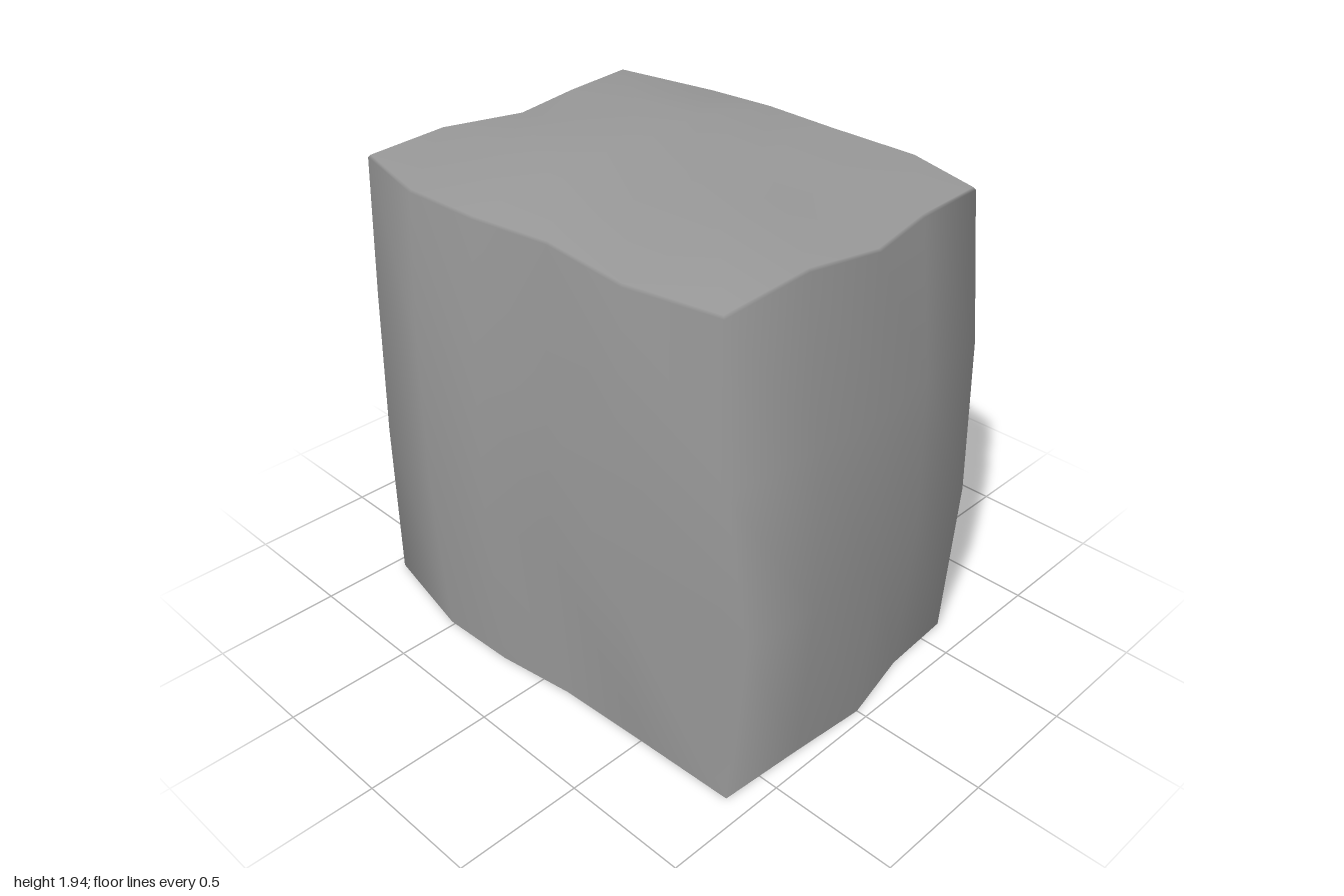
import * as THREE from 'three';

// Outline of the top rim, running back -> left (+x) -> front -> right (-x)
const RIM = [
  [-0.66, -0.88], [-0.31, -0.915], [0, -0.825], [0.31, -0.885], [0.62, -0.92],
  [0.74, -0.52], [0.725, -0.2], [0.715, 0.12], [0.715, 0.5],
  [0.62, 0.82], [0.31, 0.835], [0, 0.9], [-0.31, 0.875], [-0.66, 0.855],
  [-0.725, 0.5], [-0.69, 0.12], [-0.735, -0.2], [-0.745, -0.52],
];
// Outline at the widest part of the bulge, in the same order
const BULGE = [
  [-0.66, -0.96], [-0.31, -1], [0, -0.96], [0.31, -0.98], [0.62, -1],
  [0.785, -0.51], [0.77, -0.2], [0.76, 0.12], [0.76, 0.5],
  [0.62, 0.91], [0.31, 0.93], [0, 1], [-0.31, 0.975], [-0.66, 0.95],
  [-0.77, 0.5], [-0.73, 0.12], [-0.775, -0.2], [-0.79, -0.51],
];
const N = RIM.length;

// Each level: height and how far each face swells from rim to bulge
const LEVELS = [
  { y: 0, side: 0.05, front: 0.58, back: 0.95 },
  { y: 0.68, side: 1, front: 1, back: 0.9 },
  { y: 1.3, side: 0.87, front: 0.75, back: 0.5 },
  { y: 1.87, side: 0, front: 0, back: 0 },
];
const TOP = LEVELS.length - 1;

// Dents and bumps: level, outline point, x, z
const DENTS = [
  [0, 13, -0.66, 0.91], [1, 13, -0.62, 0.945], [2, 13, -0.7, 0.92],
  [0, 14, -0.675, 0.5],
  [0, 1, -0.31, -0.98], [1, 1, -0.31, -0.95], [2, 1, -0.31, -1],
  [0, 2, 0, -0.905], [1, 2, 0, -0.955], [2, 2, 0, -0.91],
];
// Rim heights that differ from the top level
const RIM_Y = { 5: 1.85, 11: 1.875, 12: 1.905 };
// Size of the softened edge around the top
const BEVEL = 0.01;

function outlinePoint(l, i) {
  const { y, side, front, back } = LEVELS[l];
  const [rx, rz] = RIM[i], [bx, bz] = BULGE[i];
  const zBlend = rz > 0.6 ? front : rz < -0.6 ? back : side;
  const p = [THREE.MathUtils.lerp(rx, bx, side), y, THREE.MathUtils.lerp(rz, bz, zBlend)];
  const dent = DENTS.find((d) => d[0] === l && d[1] === i);
  if (dent) [p[0], p[2]] = [dent[2], dent[3]];
  if (l === TOP) p[1] = (RIM_Y[i] ?? y) - BEVEL;
  return p;
}

// Smooth wall, open underneath
function addWall(points, index) {
  for (let l = 0; l <= TOP; l++) {
    for (let i = 0; i < N; i++) {
      points.push(outlinePoint(l, i));
      if (l === TOP) continue;
      const j = (i + 1) % N;
      const a = l * N + i, b = l * N + j, c = a + N, d = b + N;
      index.push(a, c, d, a, d, b);
    }
  }
}

// Gently rolling top: a grid whose border sits just inside the rim
function addTop(points, index) {
  const xs = [-0.31, 0, 0.31], zs = [-0.52, -0.2, 0.12, 0.5];
  const heights = [
    [1.915, 1.915, 1.93],
    [1.94, 1.91, 1.935],
    [1.895, 1.88, 1.885],
    [1.93, 1.9, 1.89],
  ];
  const cols = 5, rows = 6, start = points.length, border = [];
  for (let r = 0; r < rows; r++) {
    for (let c = 0; c < cols; c++) {
      let rim = -1;
      if (r === 0) rim = c;
      else if (r === rows - 1) rim = 13 - c;
      else if (c === cols - 1) rim = 4 + r;
      else if (c === 0) rim = 18 - r;
      const a = start + r * cols + c, b = a + 1, d = a + cols, e = d + 1;
      if (rim >= 0) {
        const [x, y, z] = outlinePoint(TOP, rim);
        points.push([x * (1 - BEVEL), y + BEVEL, z * (1 - BEVEL)]);
        border[rim] = a;
      } else {
        points.push([xs[c - 1], heights[r - 1][c - 1], zs[r - 1]]);
      }
      if (r < rows - 1 && c < cols - 1) index.push(a, d, b, b, d, e);
    }
  }
  // Narrow soft edge joining the wall to the top
  for (let i = 0; i < N; i++) {
    const j = (i + 1) % N, a = TOP * N + i, b = TOP * N + j;
    index.push(a, border[i], border[j], a, border[j], b);
  }
}

export function createModel() {
  const points = [], index = [];
  addWall(points, index);
  addTop(points, index);
  const geometry = new THREE.BufferGeometry();
  geometry.setAttribute('position', new THREE.Float32BufferAttribute(points.flat(), 3));
  geometry.setIndex(index);
  geometry.computeVertexNormals();

  const material = new THREE.MeshStandardMaterial({ color: 0x999999, side: THREE.DoubleSide });
  const block = new THREE.Mesh(geometry, material);
  block.name = 'block';
  const group = new THREE.Group();
  group.name = 'stoneBlock';
  group.add(block);
  return group;
}
